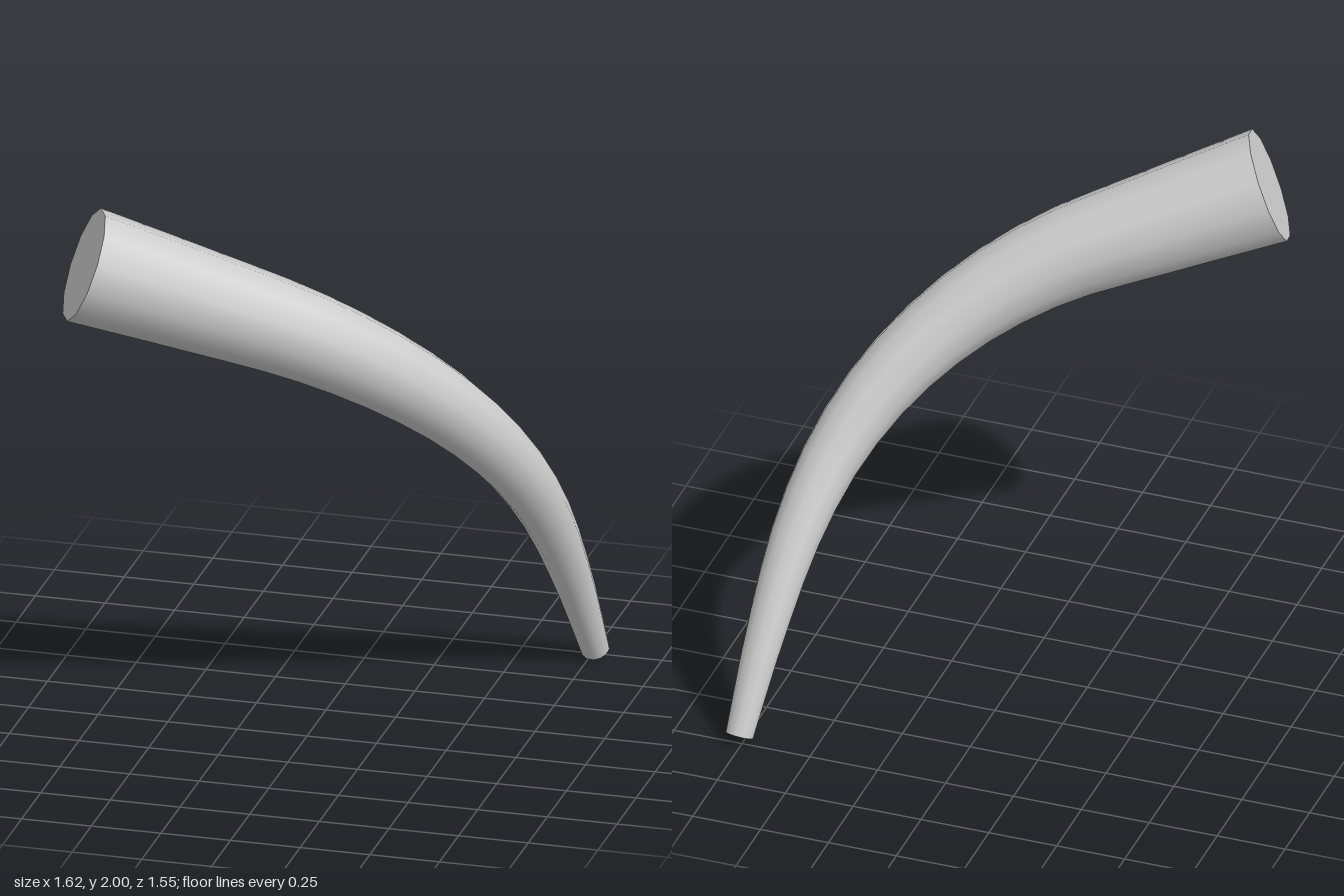
import * as THREE from 'three';

const SIDES = 12;
const RINGS = 20;

// Centre line from the thick end down to the thin tip
const path = new THREE.CatmullRomCurve3([
  [-0.71, 1.815, 0.58], [-0.35, 1.67, 0.44], [0, 1.52, 0.30],
  [0.26, 1.35, 0.15], [0.46, 1.15, -0.02], [0.60, 0.92, -0.20],
  [0.68, 0.67, -0.38], [0.73, 0.35, -0.57], [0.765, 0.025, -0.735],
].map(p => new THREE.Vector3(...p)));

// Tube whose radius shrinks evenly along the path
function taperedTube(startRadius, endRadius) {
  const geo = new THREE.TubeGeometry(path, RINGS, 1, SIDES, false);
  const { position, normal } = geo.attributes;
  const n = new THREE.Vector3();
  for (let i = 0; i <= RINGS; i++) {
    const u = i / RINGS;
    const centre = path.getPointAt(u);
    const radius = THREE.MathUtils.lerp(startRadius, endRadius, u);
    for (let j = 0; j <= SIDES; j++) {
      const k = i * (SIDES + 1) + j;
      n.fromBufferAttribute(normal, k).multiplyScalar(radius).add(centre);
      position.setXYZ(k, n.x, n.y, n.z);
    }
  }
  return geo;
}

// Flat cap that closes one ring of the tube
function ringCap(tube, ring, flip) {
  const points = [];
  for (let j = 0; j < SIDES; j++) {
    points.push(new THREE.Vector3().fromBufferAttribute(tube.attributes.position, ring * (SIDES + 1) + j));
  }
  if (flip) points.reverse();
  const index = [];
  for (let j = 1; j < SIDES - 1; j++) index.push(0, j, j + 1);
  const geo = new THREE.BufferGeometry().setFromPoints(points);
  geo.setIndex(index);
  geo.computeVertexNormals();
  return geo;
}

export function createModel() {
  const model = new THREE.Group();
  model.name = 'curvedHorn';
  const material = new THREE.MeshStandardMaterial({ color: 0xcccccc });
  const add = (name, geo) => {
    const mesh = new THREE.Mesh(geo, material);
    mesh.name = name;
    model.add(mesh);
  };

  const tube = taperedTube(0.205, 0.05);
  add('hornBody', tube);
  add('baseCap', ringCap(tube, 0, false));
  add('tipCap', ringCap(tube, RINGS, true));
  return model;
}
